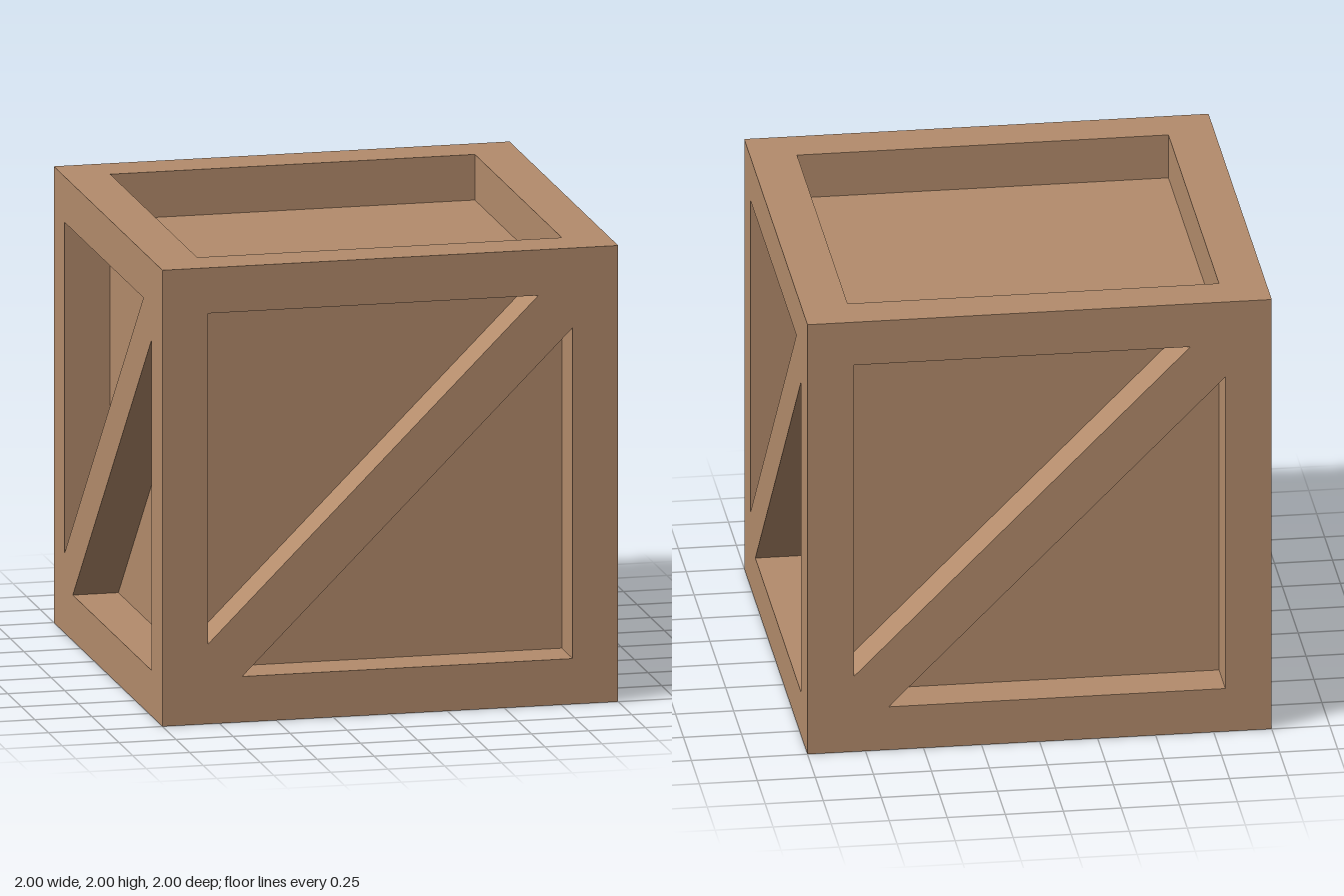
import * as THREE from 'three';

const OUT = 1, IN = 0.8, GAP = 0.15; // outer half size, core half size, strut half width along the frame

const path = (pts, Type = THREE.Path) => new Type(pts.map(([x, y]) => new THREE.Vector2(x, y)));

// One side of the frame: a plate with openings, mitred at 45 degrees along the cube edges
function frameSide(openings) {
  const shape = path([[-OUT, -OUT], [OUT, -OUT], [OUT, OUT], [-OUT, OUT]], THREE.Shape);
  shape.holes = openings.map((pts) => path(pts));
  const geo = new THREE.ExtrudeGeometry(shape, { depth: OUT - IN, bevelEnabled: false });
  geo.translate(0, 0, IN);
  const p = geo.attributes.position;
  for (let i = 0; i < p.count; i++) {
    const outer = Math.max(Math.abs(p.getX(i)), Math.abs(p.getY(i))) > 0.9;
    if (outer && p.getZ(i) < 0.9) p.setXY(i, p.getX(i) * IN, p.getY(i) * IN);
  }
  geo.computeVertexNormals();
  return geo;
}

export function createModel() {
  const crate = new THREE.Group();
  crate.name = 'crate';
  const wood = new THREE.MeshStandardMaterial({ color: 0xb48c6c });
  wood.name = 'wood';

  const add = (name, geo, rx = 0, ry = 0, rz = 0) => {
    const mesh = new THREE.Mesh(geo, wood);
    mesh.name = name;
    mesh.rotation.set(rx, ry, rz);
    mesh.position.y = OUT;
    crate.add(mesh);
  };

  // Recessed panels
  add('panelCore', new THREE.BoxGeometry(2 * IN, 2 * IN, 2 * IN));

  // Two triangular openings leave a diagonal strut between them
  const braced = frameSide([
    [[-IN, IN], [-IN, -IN + GAP * 3], [-IN, -IN + GAP], [IN - GAP, IN]],
    [[IN, -IN], [IN, IN - GAP], [-IN + GAP, -IN]],
  ]);
  const open = frameSide([[[-IN, -IN], [-IN, IN], [IN, IN], [IN, -IN]]]);

  const q = Math.PI / 2;
  ['frontFrame', 'leftFrame', 'backFrame', 'rightFrame'].forEach((name, i) => add(name, braced, 0, i * q));
  add('bottomFrame', braced, q, 0, q);
  add('topFrame', open, -q);

  return crate;
}
